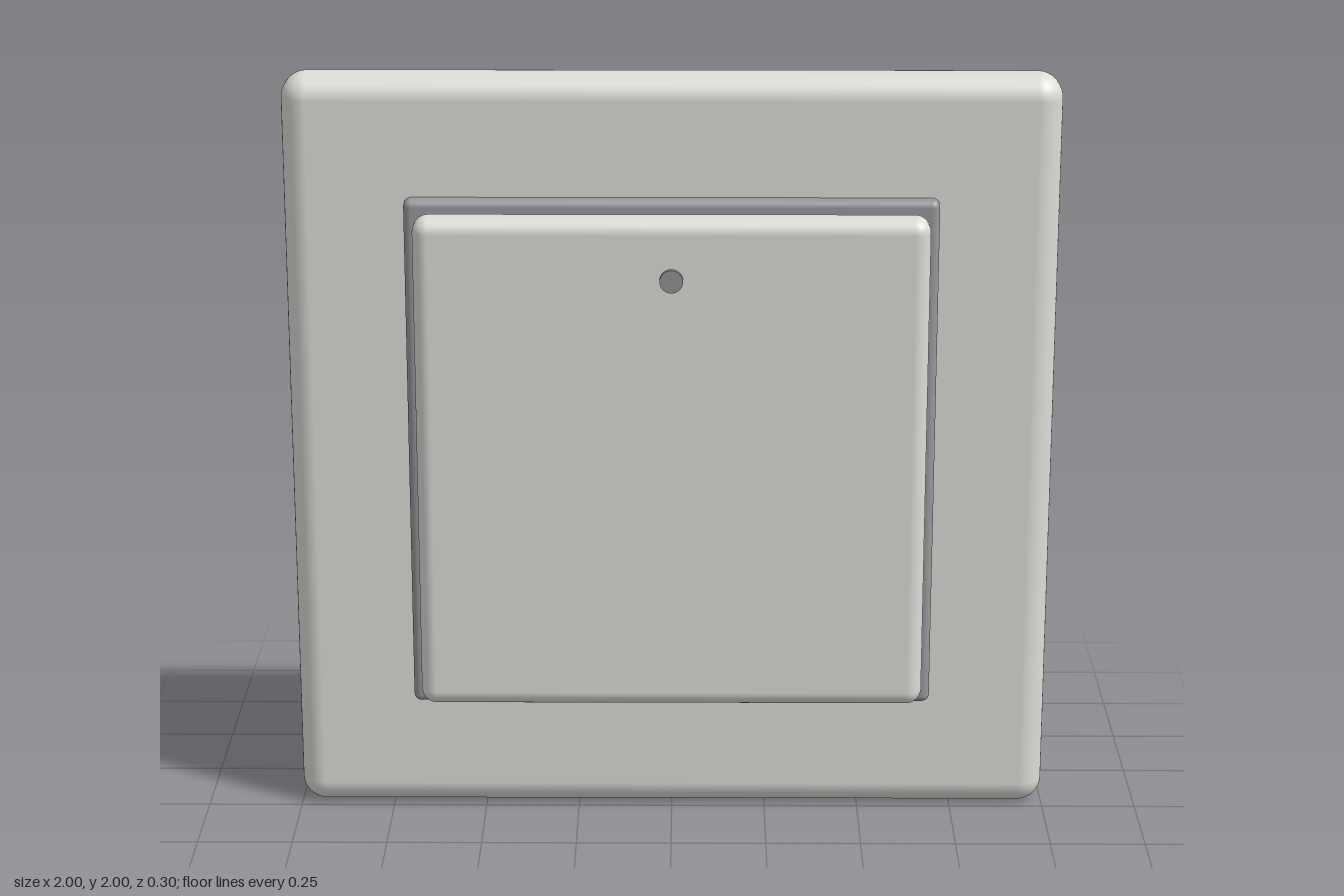
import * as THREE from 'three';
import { RoundedBoxGeometry } from 'three/addons/geometries/RoundedBoxGeometry.js';

function material(name, color) {
  const m = new THREE.MeshStandardMaterial({ color });
  m.name = name;
  return m;
}

export function createModel() {
  const group = new THREE.Group();
  group.name = 'wallSwitch';
  const white = material('warm white plastic', 0xdcdcd8);
  const grey = material('grey plastic', 0x98989c);
  const lens = material('lamp grey', 0x929294);

  // Square rounded slab centred on the plate, spanning z0 to z1
  function slab(name, size, z0, z1, radius, mat) {
    const mesh = new THREE.Mesh(new RoundedBoxGeometry(size, size, z1 - z0, 6, radius), mat);
    mesh.position.set(0, 1, (z0 + z1) / 2);
    mesh.name = name;
    group.add(mesh);
  }

  slab('wallPlate', 2, -0.15, 0, 0.065, white);
  slab('rockerSurround', 1.374, -0.02, 0.036, 0.02, grey);
  slab('rocker', 1.32, 0.036, 0.137, 0.04, white);

  // Small round indicator lamp near the top of the rocker
  const lamp = new THREE.Mesh(new THREE.CylinderGeometry(0.03, 0.03, 0.03, 24), lens);
  lamp.rotation.x = Math.PI / 2;
  lamp.position.set(0, 1.503, 0.135);
  lamp.name = 'indicatorLamp';
  group.add(lamp);

  return group;
}
